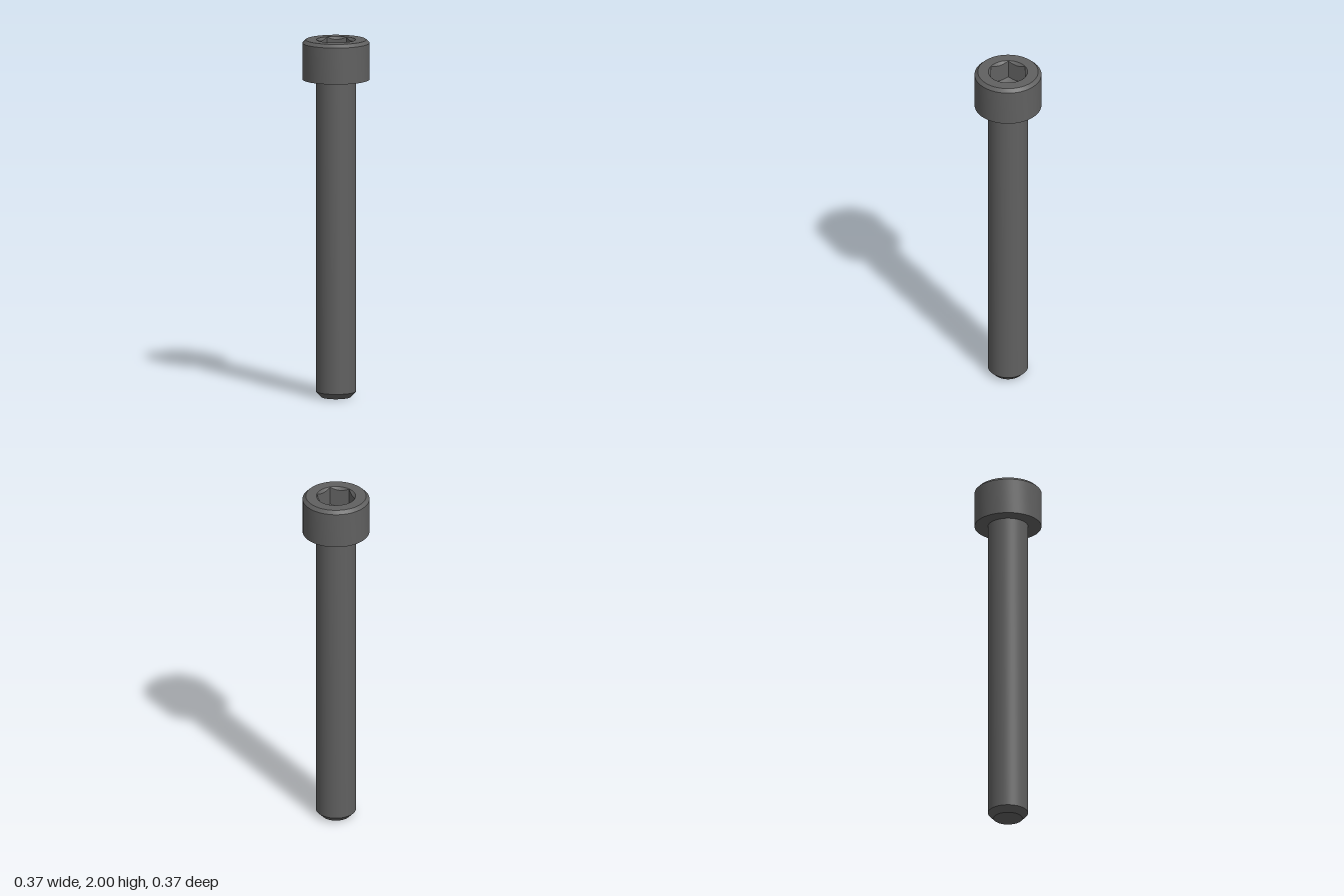
import * as THREE from 'three';
import { toCreasedNormals } from 'three/addons/utils/BufferGeometryUtils.js';

const SEGMENTS = 48;
const SHANK_R = 0.111, HEAD_R = 0.185, HEAD_Y = 1.778, TOP = 2;
const RIM_R = 0.1085, FLAT = 0.0935;      // socket rim radius, half width across flats
const FLOOR_Y = 1.83, FLOOR_SLOPE = 0.58; // tip and slope of the conical socket floor

const lathe = (points) =>
  new THREE.LatheGeometry(points.map(([r, y]) => new THREE.Vector2(r, y)), SEGMENTS);

// Hexagonal socket: a turned profile whose middle rings are pulled in to a hexagon
function socketGeometry() {
  const geo = lathe([[RIM_R, TOP], [1, 1], [1, 0], [0, FLOOR_Y]]);
  const pos = geo.attributes.position;
  for (let i = 0; i < pos.count; i++) {
    const row = i % 4;
    if (row === 0 || row === 3) continue;
    const angle = (Math.floor(i / 4) / SEGMENTS) * Math.PI * 2;
    // corners point along +z and -z
    const r = FLAT / Math.cos((angle % (Math.PI / 3)) - Math.PI / 6);
    const y = row === 1 ? TOP - (RIM_R - r) : FLOOR_Y + r * FLOOR_SLOPE;
    pos.setXYZ(i, r * Math.sin(angle), y, r * Math.cos(angle));
  }
  return geo;
}

export function createModel() {
  const group = new THREE.Group();
  group.name = 'socketHeadScrew';
  const steel = new THREE.MeshStandardMaterial({ color: 0x606060 });
  steel.name = 'darkSteel';

  const add = (name, geo) => {
    const mesh = new THREE.Mesh(toCreasedNormals(geo, 0.4), steel);
    mesh.name = name;
    group.add(mesh);
  };

  // Plain shank with a chamfered tip
  add('shank', lathe([[0, 0], [0.08, 0], [SHANK_R, 0.032], [SHANK_R, HEAD_Y]]));

  // Head: underside, wall, top chamfer and the flat ring around the socket
  add('head', lathe([
    [SHANK_R, HEAD_Y], [HEAD_R, HEAD_Y], [HEAD_R, TOP - 0.018],
    [HEAD_R - 0.018, TOP], [RIM_R, TOP],
  ]));

  add('hexSocket', socketGeometry());
  return group;
}
